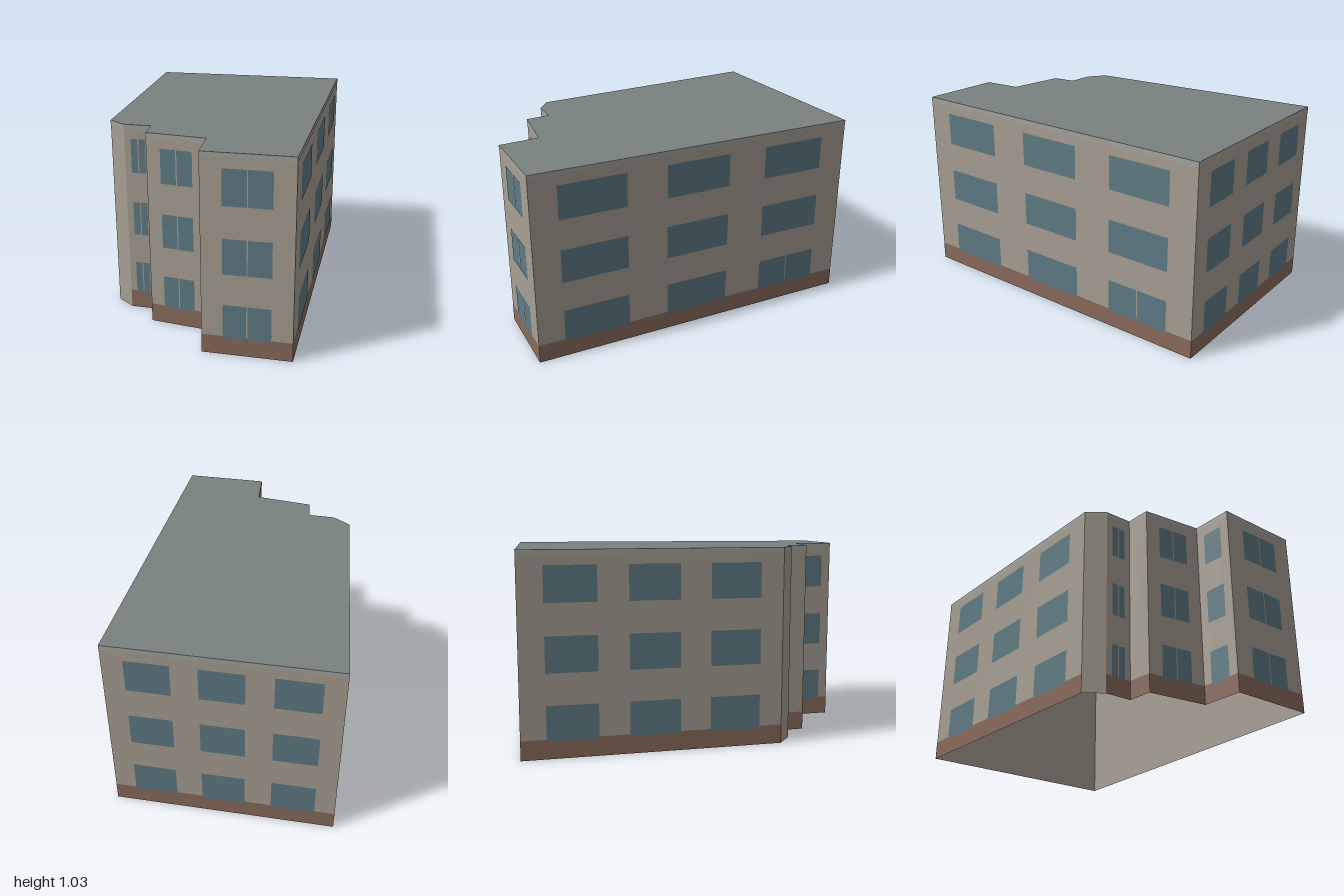
import * as THREE from 'three';

const HEIGHT = 1.035;
const PLINTH = 0.1;
const TRIM = 1.01;
const FLOORS = [[0.09, 0.27], [0.432, 0.615], [0.778, 0.96]];
const GAP = 0.003;

// window columns as fractions of the wall length
const triple = [[0.095, 0.288], [0.404, 0.597], [0.715, 0.91]];
const wide = [[0.078, 0.277], [0.399, 0.598], [0.718, 0.916]];
const single = [[0.236, 0.766]];

// footprint corners [x, z]; each wall runs to the next corner, left to right from outside
const walls = [
  { name: 'chamferWall', at: [-0.648, 0.35], plain: true },
  { name: 'frontWallRight', at: [-0.567, 0.435], columns: single, split: [0, 1, 2] },
  { name: 'outerStepWall', at: [-0.425, 0.465] },
  { name: 'frontWallMiddle', at: [-0.435, 0.595], columns: single, split: [0, 1, 2] },
  { name: 'innerStepWall', at: [-0.13, 0.695], columns: single, split: [] },
  { name: 'frontWallLeft', at: [-0.152, 0.91], columns: single, split: [0, 1, 2] },
  { name: 'leftWall', at: [0.295, 0.997], columns: wide, split: [], splitLast: true },
  { name: 'backWall', at: [0.643, -0.797], columns: triple, split: [] },
  { name: 'rightWall', at: [-0.502, -1], columns: triple, split: [] },
];

const material = (color, side = THREE.FrontSide) =>
  new THREE.MeshStandardMaterial({ color, side });

export function createModel() {
  const building = new THREE.Group();
  building.name = 'building';
  const plaster = material(0xa79f93, THREE.DoubleSide);
  const brick = material(0x8a6b5c);
  const glass = material(0x5f7b84);
  const trim = material(0xa3a69f);
  const roofing = material(0x7a8280, THREE.DoubleSide);

  walls.forEach((wall, i) => {
    const [ax, az] = wall.at;
    const [bx, bz] = walls[(i + 1) % walls.length].at;
    const length = Math.hypot(bx - ax, bz - az);
    const group = new THREE.Group();
    group.name = wall.name;
    group.position.set(ax, 0, az);
    group.rotation.y = Math.atan2(az - bz, bx - ax);
    building.add(group);

    // flat panel on this wall: x along the wall, z outwards
    const panel = (name, x0, x1, y0, y1, z, mat) => {
      const mesh = new THREE.Mesh(new THREE.PlaneGeometry(x1 - x0, y1 - y0), mat);
      mesh.name = name;
      mesh.position.set((x0 + x1) / 2, (y0 + y1) / 2, z);
      group.add(mesh);
    };

    panel('wallPanel', 0, length, 0, HEIGHT, 0, plaster);
    panel('roofTrim', 0, length, TRIM, HEIGHT, 0.001, trim);
    if (!wall.plain) panel('brickPlinth', 0, length, 0, PLINTH, 0.001, brick);

    // windows, some divided into two panes
    (wall.columns || []).forEach(([t0, t1], c) => {
      FLOORS.forEach(([y0, y1], f) => {
        const x0 = t0 * length, x1 = t1 * length, mid = (x0 + x1) / 2;
        const split = wall.split.includes(f) || (wall.splitLast && f === 0 && c === 2);
        if (split) {
          panel('windowPane', x0, mid - GAP, y0, y1, 0.002, glass);
          panel('windowPane', mid + GAP, x1, y0, y1, 0.002, glass);
        } else {
          panel('window', x0, x1, y0, y1, 0.002, glass);
        }
      });
    });
  });

  // flat roof closing the open-bottomed shell
  const outline = new THREE.Shape(walls.map(({ at: [x, z] }) => new THREE.Vector2(x, -z)));
  const roof = new THREE.Mesh(new THREE.ShapeGeometry(outline).rotateX(-Math.PI / 2), roofing);
  roof.name = 'roof';
  roof.position.y = HEIGHT;
  building.add(roof);

  return building;
}
